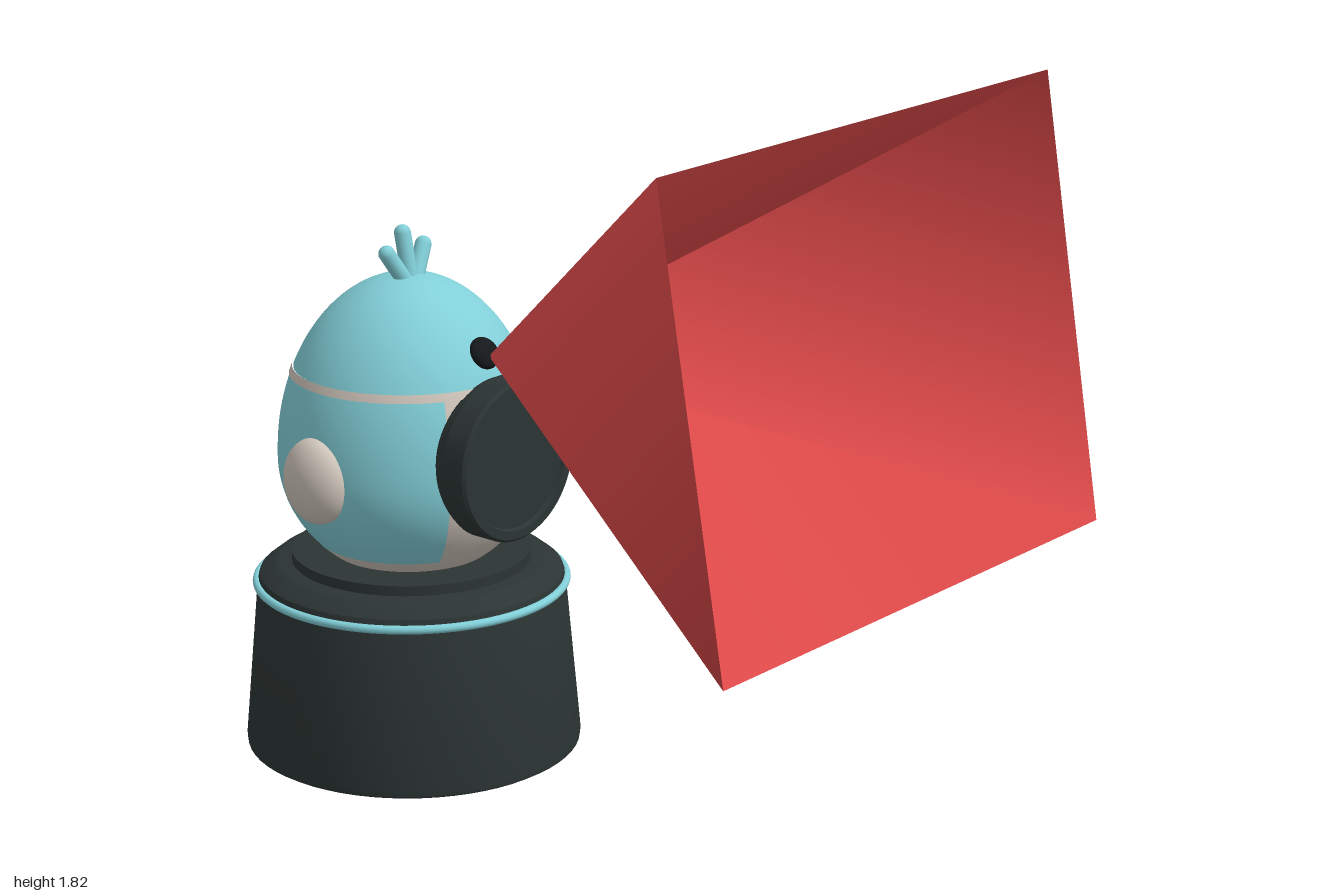
import * as THREE from 'three';
import { toCreasedNormals } from 'three/addons/utils/BufferGeometryUtils.js';

const material = (name, color, side = THREE.FrontSide) => {
  const m = new THREE.MeshStandardMaterial({ color, side });
  m.name = name;
  return m;
};

// Egg radius at a given height
const WIDEST = 0.77, RADIUS = 0.333;
const eggRadius = (y) => {
  const t = (y - WIDEST) / (y > WIDEST ? 0.465 : 0.315);
  return RADIUS * Math.sqrt(Math.max(0, 1 - t * t));
};

export function createModel() {
  const model = new THREE.Group();
  const dark = material('charcoal', 0x2c3534);
  const black = material('black', 0x151919);
  const teal = material('teal', 0x82cfd8);
  const cream = material('cream', 0xcfc5bb);
  const red = material('red', 0xe04a4a, THREE.DoubleSide);

  const robot = new THREE.Group();
  robot.name = 'robot';
  robot.position.z = -0.57;
  model.add(robot);

  const add = (name, geometry, mat, x = 0, y = 0, z = 0) => {
    const mesh = new THREE.Mesh(geometry, mat);
    mesh.name = name;
    mesh.position.set(x, y, z);
    robot.add(mesh);
    return mesh;
  };
  const lathe = (points) => toCreasedNormals(
    new THREE.LatheGeometry(points.map(([r, y]) => new THREE.Vector2(r, y)), 64), 0.5);
  // Slice of the egg shell between two heights and two angles (degrees)
  const shell = (name, mat, y0, y1, from = 0, sweep = 360, grow = 0) => {
    const points = [];
    for (let i = 0; i <= 24; i++) {
      // Closer rows towards the upper end keep the crown round
      const y = y0 + (y1 - y0) * Math.sin((i / 24) * Math.PI / 2);
      points.push(new THREE.Vector2(eggRadius(y) + grow, y));
    }
    const rad = Math.PI / 180;
    add(name, new THREE.LatheGeometry(points, Math.ceil(sweep / 6), from * rad, sweep * rad), mat);
  };

  // Pedestal
  add('pedestal', lathe([[0, 0], [0.415, 0], [0.428, 0.008], [0.43, 0.025], [0.392, 0.44],
    [0.386, 0.46], [0.35, 0.488], [0.335, 0.492], [0, 0.492]]), dark);
  add('collar', lathe([[0, 0.48], [0.304, 0.48], [0.304, 0.518], [0, 0.518]]), dark);
  add('pedestalRing', new THREE.TorusGeometry(0.394, 0.011, 12, 80).rotateX(Math.PI / 2), teal, 0, 0.437);

  // Egg body: cream bottom, front and back panels, teal sides and crown
  shell('bodyBottom', cream, 0.47, 0.553);
  shell('frontPanel', cream, 0.553, 0.985, -30, 60);
  shell('backPanel', cream, 0.553, 0.985, 150, 60);
  shell('leftPanel', teal, 0.553, 0.985, 30, 120);
  shell('rightPanel', teal, 0.553, 0.985, 210, 120);
  shell('seamBand', cream, 0.985, 1.005, 0, 360, 0.004);
  shell('crown', teal, 1.003, 1.235);

  // Round ears
  for (const side of [1, -1]) {
    const ear = add(side > 0 ? 'leftEar' : 'rightEar', new THREE.SphereGeometry(1, 32, 24), cream,
      side * 0.32, 0.768, -0.015);
    ear.scale.set(0.063, 0.11, 0.097);
  }

  // Round face screen with a raised rim, opening forwards
  add('faceScreen', lathe([[0, 0], [0.18, 0], [0.19, 0.06], [0.2, 0.1], [0.205, 0.108], [0.205, 0.172],
    [0.198, 0.18], [0.176, 0.18], [0.172, 0.168], [0, 0.168]]).rotateX(Math.PI / 2), dark, 0, 0.82, 0.19);

  // Projector lens above the face
  const lens = add('projectorLens', new THREE.SphereGeometry(1, 24, 16), black, 0, 1.075, 0.255);
  lens.scale.set(0.042, 0.042, 0.025);
  lens.rotation.x = -0.6;

  // Three-strand tuft
  for (const [name, x, y] of [['middleStrand', 0, 1.335], ['leftStrand', 0.066, 1.295], ['rightStrand', -0.066, 1.295]]) {
    const root = new THREE.Vector3(x * 0.2, 1.21, 0.012);
    const tip = new THREE.Vector3(x, y, x ? -0.006 : -0.014);
    const along = tip.clone().sub(root);
    const strand = add(name, new THREE.CapsuleGeometry(0.021, along.length(), 8, 16), teal);
    strand.position.copy(root).lerp(tip, 0.5);
    strand.quaternion.setFromUnitVectors(new THREE.Vector3(0, 1, 0), along.normalize());
  }

  // Hollow four-sided light beam, sheared so it tilts upwards
  const apex = new THREE.Vector3(0, 1.07, -0.3);
  const mouth = new THREE.Vector3(0, 1.28, 0.905);
  const beamGeometry = new THREE.ConeGeometry(Math.SQRT2, 1, 4, 1, true, Math.PI / 4);
  beamGeometry.applyMatrix4(new THREE.Matrix4()
    .makeBasis(new THREE.Vector3(0.725, 0, 0), apex.clone().sub(mouth), new THREE.Vector3(0, 0.535, -0.095))
    .setPosition(apex.clone().lerp(mouth, 0.5)));
  const beam = new THREE.Mesh(beamGeometry, red);
  beam.name = 'lightBeam';
  model.add(beam);

  return model;
}
